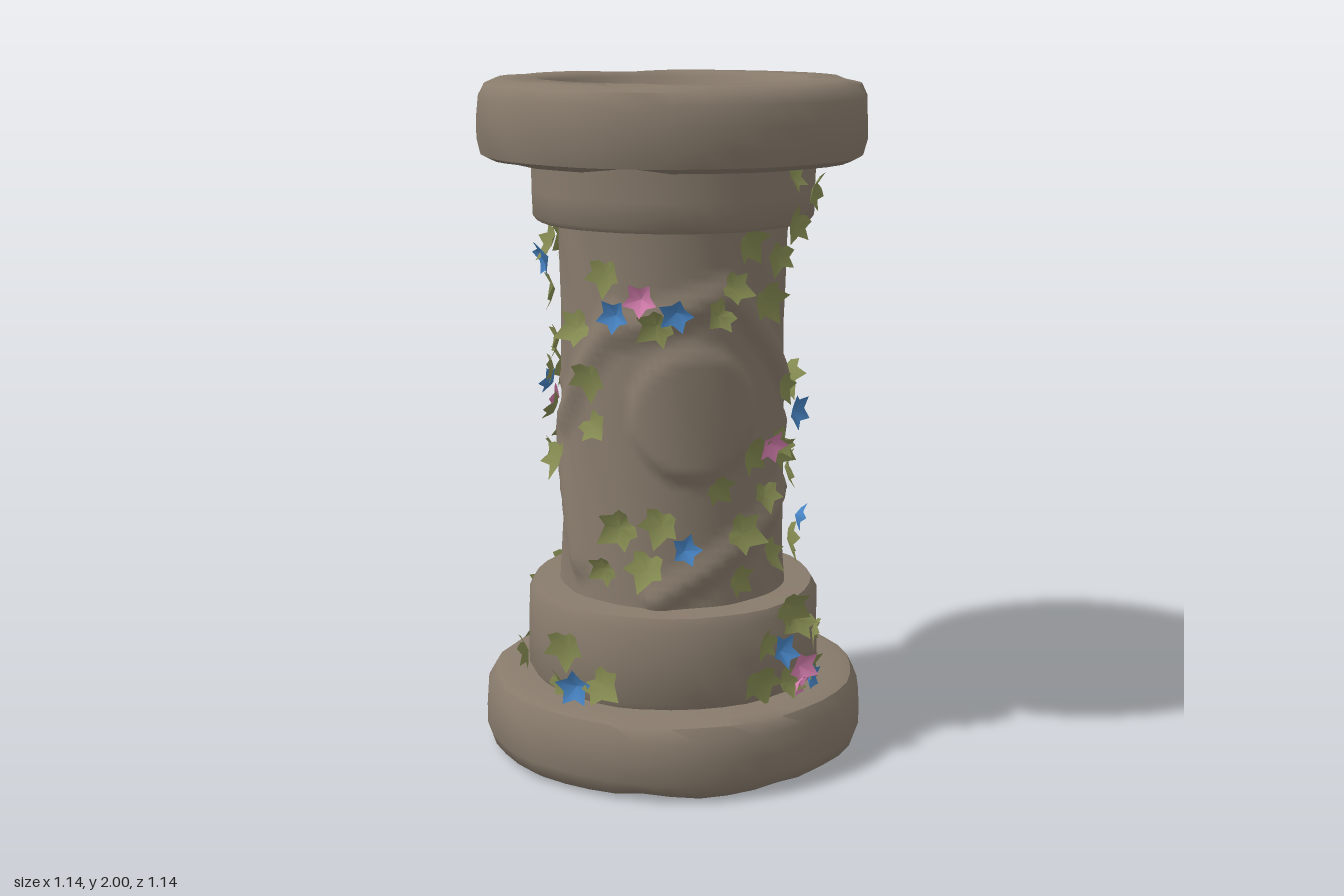
import * as THREE from 'three';
import { toCreasedNormals } from 'three/addons/utils/BufferGeometryUtils.js';

const RAD = Math.PI / 180;
const mat = (name, color, side = THREE.FrontSide) => {
  const m = new THREE.MeshStandardMaterial({ color, side });
  m.name = name;
  return m;
};
const smooth = (a, b, x) => THREE.MathUtils.smoothstep(x, a, b);

// Turned stone section whose vertices are moved by warp(theta, y, r) -> [dr, dy]
function stone(name, profile, segments, material, warp) {
  let g = new THREE.LatheGeometry(profile.map(p => new THREE.Vector2(...p)), segments);
  const pos = g.attributes.position;
  for (let i = 0; i < pos.count; i++) {
    const x = pos.getX(i), y = pos.getY(i), z = pos.getZ(i), r = Math.hypot(x, z);
    if (r < 1e-4) continue;
    const [dr, dy] = warp(Math.atan2(x, z), y, r);
    pos.setXYZ(i, x * (r + dr) / r, y + dy, z * (r + dr) / r);
  }
  g.deleteAttribute('uv');
  g = toCreasedNormals(g, 0.75);
  const mesh = new THREE.Mesh(g, material);
  mesh.name = name;
  return mesh;
}

// Worn, hand-cut unevenness, periodic around the axis
const worn = (seed, amount) => (t, y) => {
  const k = Math.sin(5 * t + seed) + 0.7 * Math.sin(9 * t + seed * 2.3 + y * 9) + 0.5 * Math.sin(13 * t - seed + y * 20);
  return [amount * k * 0.5, 0];
};
const wornEdges = (seed, amount, low, high) => (t, y, r) => {
  const [dr] = worn(seed, amount)(t, y);
  const chip = Math.max(0, Math.sin(3 * t + seed) + Math.sin(7 * t + seed * 3) - 0.5) * 0.015;
  if (r < 0.5) return [dr * 0.6, 0];
  return [dr, y < low ? chip : y > high ? -chip * 0.4 : 0];
};

// Carved straps on the shaft: angle, height to angle, height; repeated every half turn
const STRAPS = [[30, 1.42, 80, 1.1], [152, 1.35, 105, 1], [-8, 0.53, 75, 0.8], [-30, 1.3, 30, 1.42], [100, 0.98, 125, 0.6]];
const R = 0.335;
function relief(t, y) {
  let h = 0;
  for (const shift of [-360, -180, 0, 180]) {
    const deg = t / RAD - shift;
    // round medallion with a groove about it
    const d = Math.hypot((deg - 12) * RAD * R, y - 1.07);
    if (d < 0.3) h += 0.022 * (1 - smooth(0.17, 0.22, d)) - 0.016 * smooth(0.18, 0.22, d) * (1 - smooth(0.24, 0.3, d));
    // raised straps
    for (const [a, ya, b, yb] of STRAPS) {
      const ux = (b - a) * RAD * R, uy = yb - ya;
      const px = (deg - a) * RAD * R, py = y - ya;
      const k = THREE.MathUtils.clamp((px * ux + py * uy) / (ux * ux + uy * uy), 0, 1);
      h = Math.max(h, 0.02 * (1 - smooth(0.015, 0.05, Math.hypot(px - k * ux, py - k * uy))));
    }
  }
  return [h + worn(2, 0.005)(t, y)[0], 0];
}

// Cupped fan from an outline of [x, y, lift]
function fan(outline) {
  const v = [], n = outline.length;
  outline.forEach((p, i) => v.push(0, 0, -0.012, ...p, ...outline[(i + 1) % n]));
  const g = new THREE.BufferGeometry();
  g.setAttribute('position', new THREE.Float32BufferAttribute(v, 3));
  return toCreasedNormals(g, 0.9);
}

function leafGeometry() {
  const half = [[0.02, -0.045, 0], [0.045, -0.04, 0.012], [0.042, -0.012, 0.004], [0.062, 0.016, 0.02], [0.03, 0.026, 0.003]];
  const mirrored = half.map(([x, y, z]) => [-x, y, z]).reverse();
  return fan([[0, -0.032, -0.008], ...half, [0, 0.075, 0.014], ...mirrored]);
}

function flowerGeometry() {
  const pts = [];
  for (let i = 0; i < 10; i++) {
    const a = i * 36 * RAD + Math.PI / 2, r = i % 2 ? 0.034 : 0.057;
    pts.push([r * Math.cos(a), r * Math.sin(a), i % 2 ? 0.008 : 0.018]);
  }
  return fan(pts);
}

// Sprigs: angle around the axis in degrees and height, grouped by how many leaves each has
const SPRIGS = {
  1: [[-31, 1.47], [-7, 1.33], [22, 1.36], [-5, 0.76], [22, 0.86], [35, 0.72], [63, 1.12], [107, 1.1],
    [61, 0.96], [77, 0.64], [140, 0.92], [244, 0.94], [217, 0.91], [-78, 0.29]],
  2: [[-59, 1.28], [-39, 1.1], [115, 0.81], [138, 1.25], [147, 0.64], [240, 1.48], [280, 1.46], [280, 0.9]],
  3: [[50, 0.9], [-23, 0.66], [45, 0.57], [60, 1.68], [207, 1.49], [262, 1.1], [-38, 0.31], [138, 0.3]],
  4: [[43, 1.47]],
  6: [[51, 0.34], [231, 0.34]],
};
// Spread each sprig's leaves evenly round its middle
function leafSpots() {
  const spots = [];
  for (const [key, sprigs] of Object.entries(SPRIGS)) {
    const n = Number(key), spread = n === 1 ? 0 : 0.045 + 0.012 * n;
    sprigs.forEach(([deg, y], i) => {
      for (let k = 0; k < n; k++) {
        const a = k / n * Math.PI * 2 + i * 1.3 + 0.4;
        spots.push([deg + spread * Math.cos(a) / 0.37 / RAD, Math.max(0.27, y + spread * Math.sin(a))]);
      }
    });
  }
  return spots;
}

// Flowers: angle and height; the bunch at the foot is repeated on the opposite side
const BLUES = [[-25, 1.36], [2, 1.37], [6, 0.69], [73, 1.04], [85, 0.7], [146, 1.25], [142, 0.64], [276, 1.48], [259, 1.09], [-36, 0.28], [141, 0.27]];
const PINKS = [[-13, 1.41], [48, 0.97], [250, 1.03]];
const withFootBunch = (list, bunch) => [...list, ...bunch, ...bunch.map(([deg, y]) => [deg + 180, y])];

const surfaceRadius = y => (y < 0.51 ? 0.452 : y > 1.6 ? 0.422 : 0.358);

// Fix copies of a geometry to the stone, each turned a little differently
function scatter(name, spots, geometry, material, lift) {
  const group = new THREE.Group();
  group.name = name;
  spots.forEach(([deg, y], i) => {
    const m = new THREE.Mesh(geometry, material);
    const r = surfaceRadius(y) + lift;
    m.name = name + 'Piece';
    m.position.set(r * Math.sin(deg * RAD), y, r * Math.cos(deg * RAD));
    m.rotation.set(0.35 * Math.sin(i * 2.1), deg * RAD + 0.3 * Math.sin(i * 3.7), Math.PI + 1.1 * Math.sin(i * 5.3), 'YXZ');
    m.scale.setScalar(0.92 + 0.13 * Math.sin(i * 2.9));
    group.add(m);
  });
  return group;
}

export function createModel() {
  const model = new THREE.Group();
  const stoneMat = mat('stone', 0x887b6c);
  const leafMat = mat('leaf green', 0x868c52, THREE.DoubleSide);
  const blueMat = mat('flower blue', 0x4784c4, THREE.DoubleSide);
  const pinkMat = mat('flower pink', 0xd880b0, THREE.DoubleSide);

  // Pedestal, from the foot up
  model.add(stone('footSlab', [[0, 0], [0.525, 0], [0.555, 0.02], [0.57, 0.06], [0.57, 0.12], [0.567, 0.18], [0.545, 0.22], [0.51, 0.23], [0.4, 0.23]],
    40, stoneMat, wornEdges(1, 0.007, 0.05, 0.2)));
  model.add(stone('lowerTier', [[0.42, 0.21], [0.442, 0.25], [0.44, 0.36], [0.438, 0.47], [0.42, 0.5], [0.3, 0.505]],
    36, stoneMat, worn(4, 0.005)));
  const shaftProfile = [];
  for (let i = 0; i <= 44; i++) {
    const k = i / 44;
    shaftProfile.push([R - 0.006 + 0.01 * Math.pow(Math.abs(2 * k - 1), 3), 0.49 + 1.13 * k]);
  }
  model.add(stone('carvedShaft', shaftProfile, 96, stoneMat, relief));
  model.add(stone('collar', [[0.3, 1.595], [0.4, 1.595], [0.412, 1.61], [0.414, 1.68], [0.416, 1.79]],
    36, stoneMat, worn(6, 0.004)));
  model.add(stone('bowlSlab', [[0.38, 1.77], [0.525, 1.77], [0.555, 1.785], [0.567, 1.83], [0.567, 1.89], [0.563, 1.95], [0.545, 1.985], [0.51, 2],
    [0.395, 2], [0.378, 1.985], [0.36, 1.93], [0.31, 1.88], [0.22, 1.84], [0.1, 1.82], [0, 1.815]],
    40, stoneMat, wornEdges(3, 0.007, 1.78, 1.99)));

  // Climbing leaves and flowers
  model.add(scatter('ivyLeaves', leafSpots(), leafGeometry(), leafMat, 0.006));
  model.add(scatter('blueFlowers', withFootBunch(BLUES, [[43, 0.38], [60, 0.26]]), flowerGeometry(), blueMat, 0.02));
  model.add(scatter('pinkFlowers', withFootBunch(PINKS, [[53, 0.31], [51, 0.26]]), flowerGeometry(), pinkMat, 0.024));
  return model;
}
